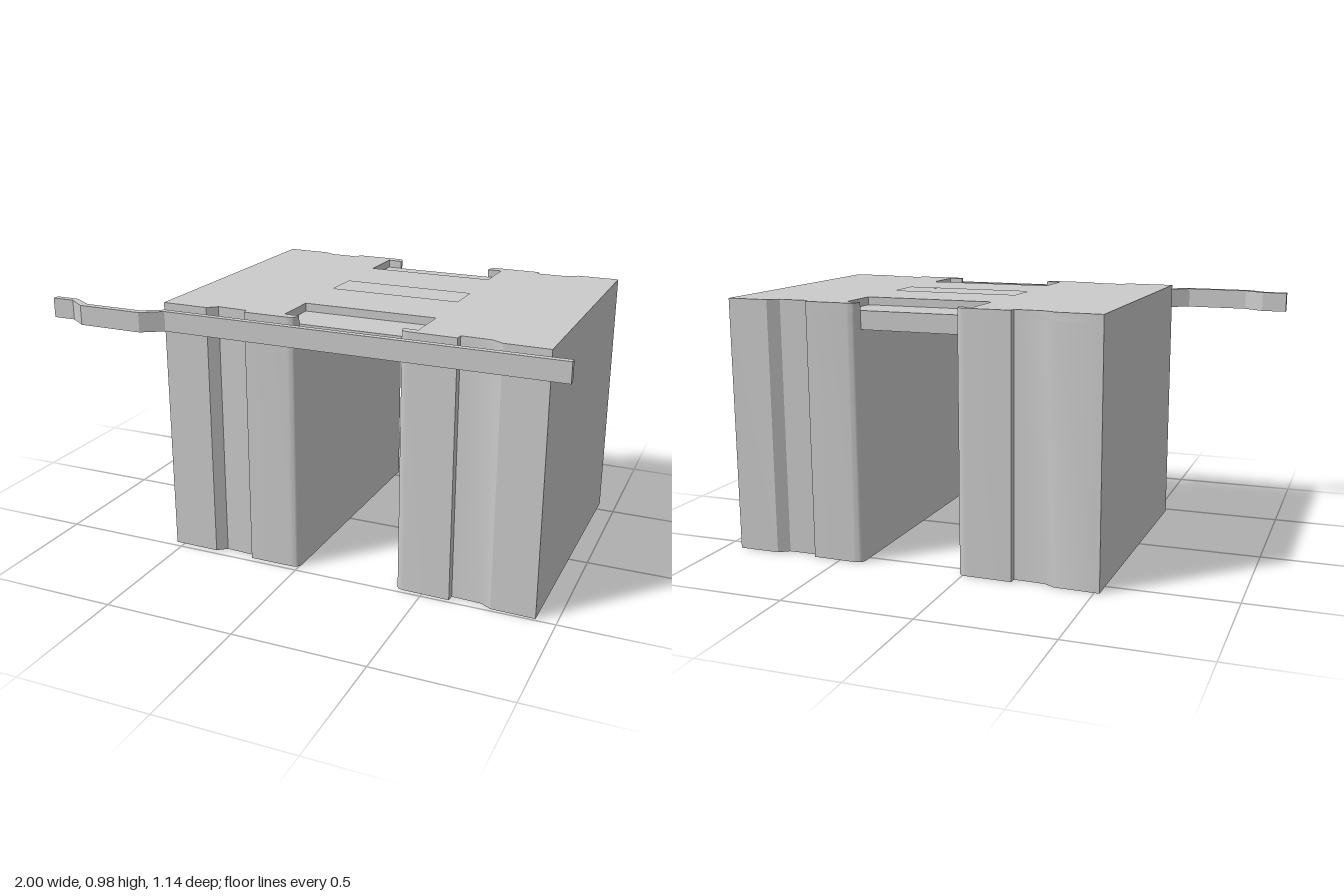
import * as THREE from 'three';
import { toCreasedNormals } from 'three/addons/utils/BufferGeometryUtils.js';

const material = new THREE.MeshStandardMaterial({ color: 0xcccccc });
const FLOOR = 0.95, TOP = 0.98, UNDER = 0.88;

// Plan outlines are [x, z] corners; [cx, cz, x, z] is a rounded corner.
function slab(name, plan, y0, y1, hole) {
  const trace = (path) => path.reduce((s, p, i) => {
    if (p.length === 4) s.quadraticCurveTo(p[0], -p[1], p[2], -p[3]);
    else if (i === 0) s.moveTo(p[0], -p[1]);
    else s.lineTo(p[0], -p[1]);
    return s;
  }, new THREE.Shape());
  const shape = trace(plan);
  if (hole) shape.holes.push(trace(hole));
  const geometry = new THREE.ExtrudeGeometry(shape, { depth: y1 - y0, bevelEnabled: false, curveSegments: 6 });
  geometry.rotateX(-Math.PI / 2);
  geometry.translate(0, y0, 0);
  const mesh = new THREE.Mesh(toCreasedNormals(geometry, 0.5), material);
  mesh.name = name;
  return mesh;
}

// Grooved edges of the two blocks, listed from left to right or right to left
const rightBack = [
  [-0.52, -0.575], [-0.35, -0.57], [-0.31, -0.548], [-0.192, -0.543], [-0.19, -0.57],
  [-0.015, -0.567], [0.017, -0.567, 0.018, -0.535],
];
const rightFront = [
  [0.004, 0.445], [0.003, 0.477, -0.03, 0.477], [-0.198, 0.477], [-0.202, 0.452],
  [-0.32, 0.446], [-0.355, 0.475], [-0.535, 0.472],
];
const leftBack = [
  [0.405, -0.535], [0.407, -0.565, 0.44, -0.565], [0.608, -0.562], [0.61, -0.536],
  [0.73, -0.536], [0.77, -0.563], [0.932, -0.562],
];
const leftFront = [
  [0.925, 0.49], [0.76, 0.486], [0.72, 0.462], [0.607, 0.457], [0.605, 0.485],
  [0.43, 0.481], [0.398, 0.481, 0.398, 0.45],
];

export function createModel() {
  const model = new THREE.Group();
  model.name = 'twinBlockStand';

  // Two upright blocks
  model.add(slab('rightBlock', [...rightBack, ...rightFront], 0, FLOOR));
  model.add(slab('leftBlock', [...leftBack, ...leftFront], 0, FLOOR));

  // Bridge joining the blocks
  model.add(slab('bridge', [[0.018, -0.528], [0.405, -0.523], [0.398, 0.445], [0.004, 0.442]], UNDER, FLOOR));

  // Top layer with open recesses at both ends and a closed one in the middle
  const backRecess = [
    [0.018, -0.528], [-0.037, -0.53], [-0.042, -0.357], [0.457, -0.353], [0.46, -0.523], [0.405, -0.523],
  ];
  const frontRecess = [
    [0.398, 0.445], [0.454, 0.448], [0.457, 0.278], [-0.05, 0.274], [-0.054, 0.442], [0.004, 0.442],
  ];
  const middleRecess = [[-0.044, -0.11], [0.458, -0.104], [0.456, 0.032], [-0.049, 0.026]];
  model.add(slab('topPlate',
    [...rightBack, ...backRecess, ...leftBack, ...leftFront, ...frontRecess, ...rightFront],
    FLOOR, TOP, middleRecess));

  // Bent strap across the front
  model.add(slab('strap', [
    [-1, 0.49], [-0.905, 0.49], [-0.83, 0.54], [-0.595, 0.542], [-0.515, 0.495], [1, 0.505],
    [1, 0.53], [-0.505, 0.52], [-0.585, 0.57], [-0.84, 0.568], [-0.912, 0.516], [-1, 0.516],
  ], 0.885, 0.96));

  return model;
}
